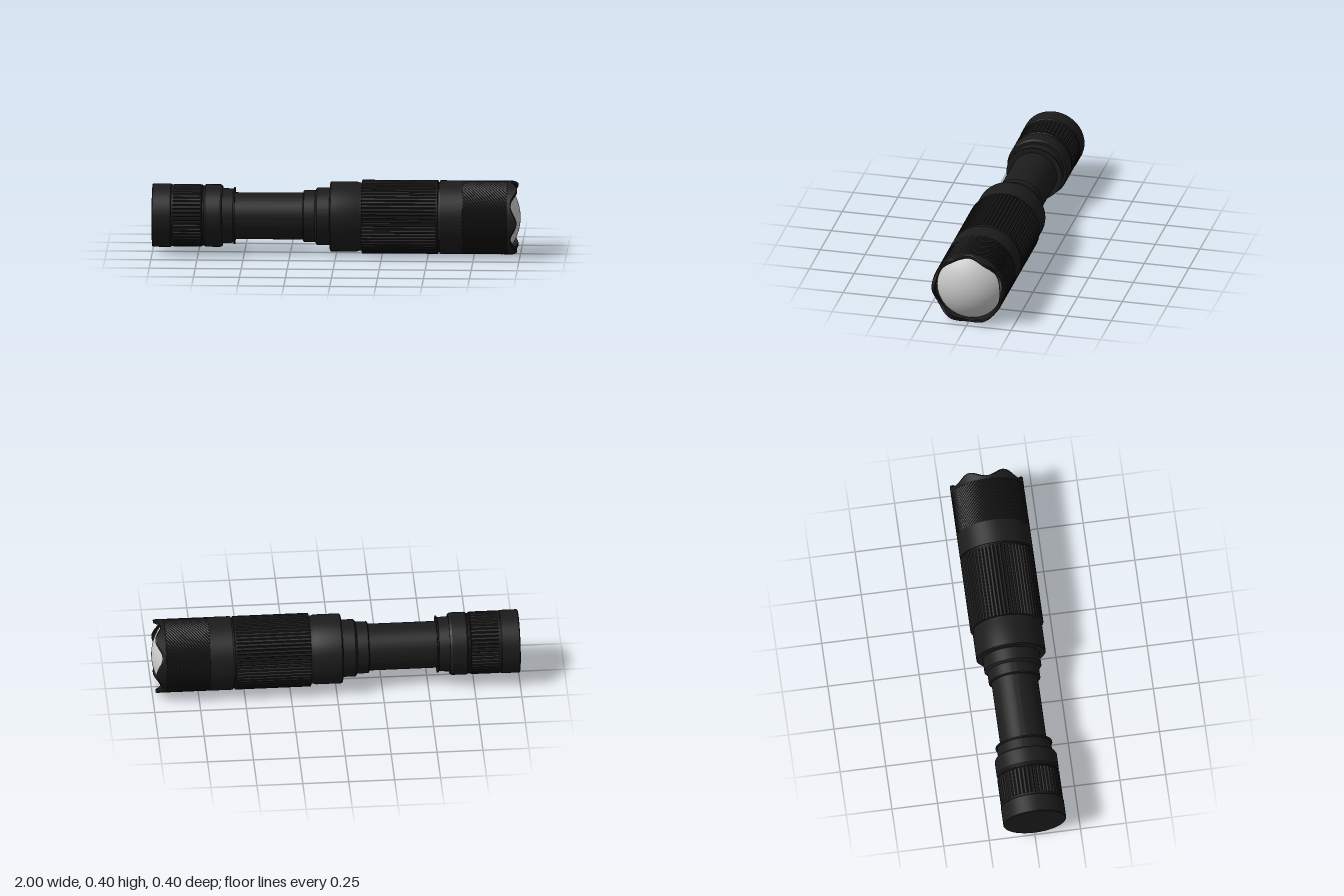
import * as THREE from 'three';
import { toCreasedNormals } from 'three/addons/utils/BufferGeometryUtils.js';

const AXIS_Y = 0.2;

export function createModel() {
  const group = new THREE.Group();
  const black = new THREE.MeshStandardMaterial({ color: 0x1c1c1c, side: THREE.DoubleSide });
  const grey = new THREE.MeshStandardMaterial({ color: 0xcccccc, side: THREE.DoubleSide });

  // Lay a y-axis geometry along +x at axis height
  function add(name, geo, mat = black, crease = 0.5) {
    geo.rotateZ(-Math.PI / 2);
    geo = toCreasedNormals(geo, crease);
    const mesh = new THREE.Mesh(geo, mat);
    mesh.name = name;
    mesh.position.y = AXIS_Y;
    group.add(mesh);
  }

  // Turned part from [x, radius] pairs
  const turned = (pts, segs = 96) =>
    new THREE.LatheGeometry(pts.map(([x, r]) => new THREE.Vector2(r, x)), segs);

  // Move every vertex by a rule: fn(point, angle)
  function shape(geo, fn) {
    const p = geo.attributes.position, v = new THREE.Vector3();
    for (let i = 0; i < p.count; i++) {
      v.fromBufferAttribute(p, i);
      fn(v, Math.atan2(v.z, v.x));
      p.setXYZ(i, v.x, v.y, v.z);
    }
    return geo;
  }

  // Sleeve with lengthwise ribs
  function ribbed(x0, x1, r, depth, ribs) {
    const geo = new THREE.CylinderGeometry(r, r, x1 - x0, ribs * 4);
    geo.translate(0, (x0 + x1) / 2, 0);
    return shape(geo, (v, a) => {
      const step = ((Math.round(a / (2 * Math.PI) * ribs * 4) % 4) + 4) % 4;
      if (step === 0) {
        const k = 1 - depth / r;
        v.x *= k; v.z *= k;
      }
    });
  }

  // Tail cap with its rings
  add('tailCap', turned([
    [-1, 0], [-1, 0.168], [-0.996, 0.172], [-0.9, 0.172], [-0.895, 0.168],
    [-0.885, 0.168], [-0.88, 0.162], [-0.735, 0.162], [-0.73, 0.168],
    [-0.725, 0.163], [-0.718, 0.163], [-0.71, 0.17], [-0.63, 0.17],
    [-0.618, 0.163], [-0.618, 0.15], [-0.56, 0.147], [-0.557, 0.155],
    [-0.55, 0.155], [-0.55, 0.12]]));
  add('tailGrip', ribbed(-0.885, -0.735, 0.17, 0.006, 48));
  add('tailButton', turned([[-1.0, 0.004], [-1.0, 0.008], [-0.99, 0.008]], 16));

  // Battery tube and stepped neck
  add('batteryTube', turned([[-0.56, 0.127], [-0.17, 0.127]]));
  add('neck', turned([
    [-0.18, 0.12], [-0.18, 0.136], [-0.175, 0.141], [-0.115, 0.141],
    [-0.11, 0.15], [-0.104, 0.156], [-0.036, 0.156],
    [-0.034, 0.184], [-0.028, 0.19], [0.11, 0.19], [0.13, 0.184], [0.15, 0.184]]));

  // Ribbed focus sleeve, with a groove before the head
  add('focusGrip', ribbed(0.14, 0.55, 0.2, 0.007, 60));
  add('focusGripFrontEdge', turned([[0.545, 0.194], [0.545, 0.2], [0.552, 0.2], [0.556, 0.19], [0.566, 0.19]]));

  // Smooth head collar
  add('headCollar', turned([[0.562, 0.185], [0.562, 0.197], [0.567, 0.2], [0.69, 0.2], [0.692, 0.195]]));

  // Knurled band: alternating raised points form small pyramids
  const rows = 30, cols = 120, x0 = 0.69, x1 = 0.93;
  const knurl = new THREE.CylinderGeometry(0.2, 0.2, x1 - x0, cols, rows, true);
  knurl.translate(0, (x0 + x1) / 2, 0);
  shape(knurl, (v, a) => {
    const i = Math.round(a / (2 * Math.PI) * cols);
    const j = Math.round((v.y - x0) / (x1 - x0) * rows);
    const k = Math.abs(i + j) % 2 ? 0.98 : 1;
    v.x *= k; v.z *= k;
  });
  add('knurledBand', knurl, black, 0.1);

  // Front rim with six scallops
  const rim = turned([
    [0.925, 0.195], [0.93, 0.2], [0.979, 0.2], [0.985, 0.196], [0.985, 0.183],
    [0.982, 0.18], [0.92, 0.18]], 144);
  shape(rim, (v, a) => {
    if (v.y > 0.95) v.y -= 0.034 * (0.5 + 0.5 * Math.cos(6 * a));
  });
  add('scallopedRim', rim);

  // Domed lens as a spherical cap
  const sag = 0.07, rad = 0.18, R = (rad * rad + sag * sag) / (2 * sag);
  const lens = new THREE.SphereGeometry(R, 64, 16, 0, Math.PI * 2, 0, Math.asin(rad / R));
  lens.translate(0, 1 - R, 0);
  add('lens', lens, grey);

  return group;
}
